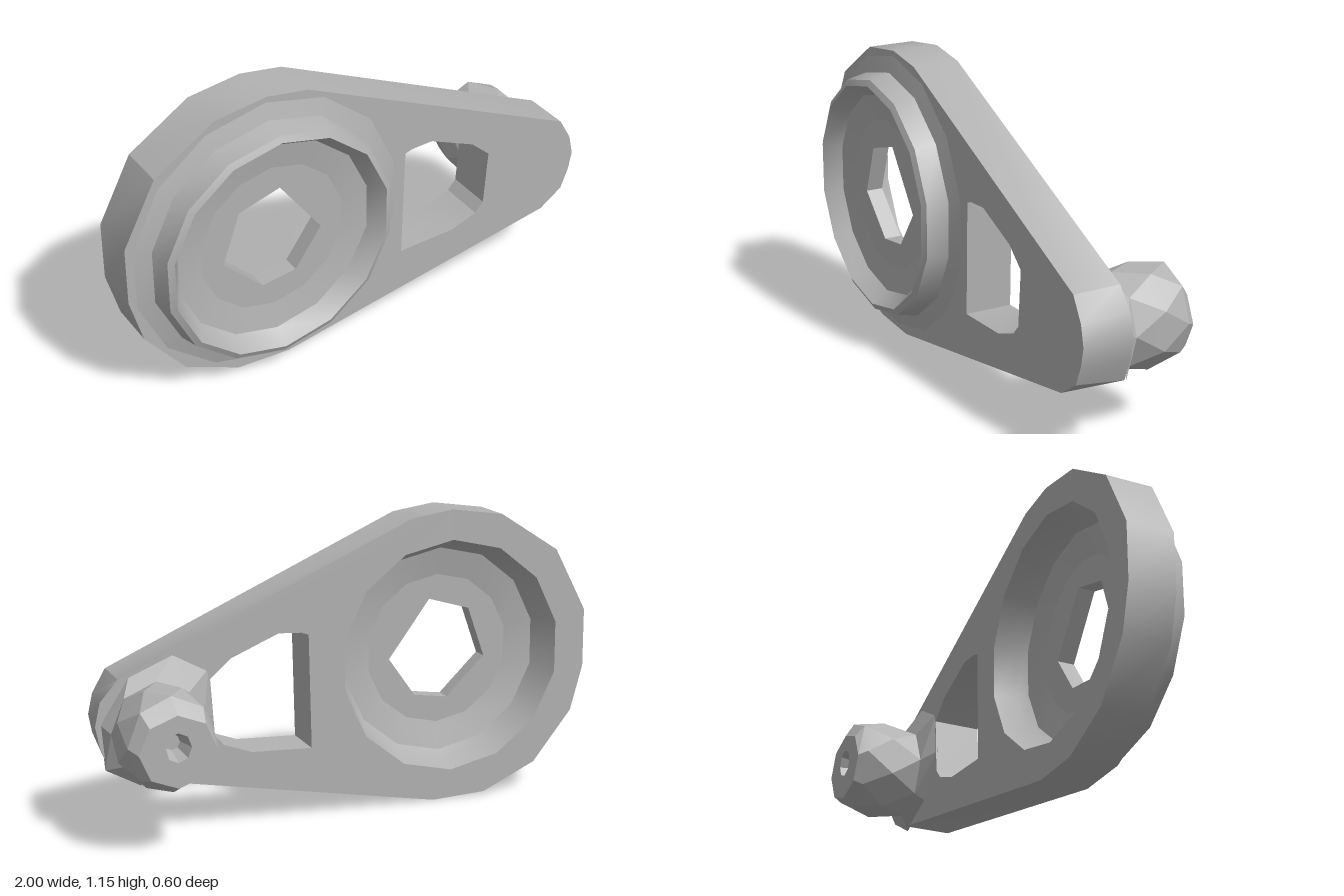
import * as THREE from 'three';
import { toCreasedNormals } from 'three/addons/utils/BufferGeometryUtils.js';

const SIDES = 14;
const CX = -0.425, CY = 0.577; // centre of the round dish

const points = (list) => list.map(([x, y]) => new THREE.Vector2(x, y));

// Regular polygon matching the corners of the dish lathe
function ring(radius) {
  return Array.from({ length: SIDES }, (_, i) => {
    const a = (i / SIDES) * Math.PI * 2;
    return new THREE.Vector2(CX + radius * Math.sin(a), CY - radius * Math.cos(a));
  });
}

// Flat slab from an outline with holes, between two z values
function slab(outline, holes, z0, z1) {
  const shape = new THREE.Shape(outline);
  holes.forEach((h) => shape.holes.push(new THREE.Path(h)));
  const geo = new THREE.ExtrudeGeometry(shape, { depth: z1 - z0, bevelEnabled: false });
  return geo.translate(0, 0, z0);
}

// Faceted knob lofted through rings of [cx, cy, rx, ry, z, twist in steps, lean]
function loft(rings, sides) {
  const pos = [], index = [];
  rings.forEach(([cx, cy, rx, ry, z, twist, lean = 0], r) => {
    for (let i = 0; i < sides; i++) {
      const a = ((i + twist) / sides) * Math.PI * 2;
      const dy = ry * Math.sin(a);
      pos.push(cx + rx * Math.cos(a) - lean * dy, cy + dy, z);
      if (r === 0) continue;
      const j = (i + 1) % sides;
      const a0 = (r - 1) * sides + i, b0 = (r - 1) * sides + j;
      const a1 = r * sides + i, b1 = r * sides + j;
      // the diagonal follows the direction of the twist
      if (twist > rings[r - 1][5]) index.push(a0, a1, b0, b0, a1, b1);
      else index.push(a0, b1, b0, a0, a1, b1);
    }
  });
  const geo = new THREE.BufferGeometry();
  geo.setAttribute('position', new THREE.Float32BufferAttribute(pos, 3));
  geo.setIndex(index);
  return geo;
}

export function createModel() {
  const group = new THREE.Group();
  const grey = new THREE.MeshStandardMaterial({ color: 0xb2b2b2 });
  grey.name = 'plain grey';

  const add = (name, geo, crease) => {
    const mesh = new THREE.Mesh(toCreasedNormals(geo, crease), grey);
    mesh.name = name;
    group.add(mesh);
  };

  // Teardrop arm with a four-sided window and a round opening for the dish
  const outline = points([
    [-0.42, 1.155], [-0.63, 1.125], [-0.87, 0.97], [-1, 0.72], [-1, 0.49],
    [-0.95, 0.31], [-0.79, 0.11], [-0.57, 0.01], [-0.35, 0], [0.84, 0.22],
    [0.95, 0.27], [0.985, 0.36], [1, 0.44], [0.98, 0.53], [0.91, 0.61], [-0.25, 1.13],
  ]);
  const windowHole = points([
    [0.17, 0.715], [0.2, 0.725], [0.29, 0.73], [0.48, 0.65], [0.56, 0.58],
    [0.545, 0.36], [0.51, 0.32], [0.4, 0.28], [0.16, 0.27],
  ]);
  const plate = slab(outline, [windowHole, ring(0.46)], 0, 0.188);
  // The tip tapers slightly towards the front
  const p = plate.attributes.position;
  for (let i = 0; i < p.count; i++) {
    if (p.getX(i) < 0.93 || p.getZ(i) < 0.1) continue;
    p.setX(i, THREE.MathUtils.lerp(p.getX(i), 0.8, 0.1));
    p.setY(i, THREE.MathUtils.lerp(p.getY(i), 0.43, 0.1));
  }
  add('armPlate', plate, 0.5);

  // Sloped skirt, raised front rim and hollowed inner walls on front and back
  const rim = new THREE.LatheGeometry(points([
    [0.56, 0.187], [0.492, 0.206], [0.474, 0.288], [0.45, 0.3],
    [0.405, 0.232], [0.3, 0.215], [0.3, 0.147], [0.41, 0.122], [0.435, 0.08], [0.46, 0],
  ]), SIDES);
  rim.rotateX(Math.PI / 2).translate(CX, CY, 0);
  add('dishRim', rim, 0.5);

  // Thin dish floor with an uneven centre hole
  const centreHole = points([
    [-0.39, 0.78], [-0.56, 0.73], [-0.63, 0.53], [-0.47, 0.375], [-0.33, 0.395], [-0.22, 0.55],
  ]);
  add('dishFloor', slab(ring(0.3), [centreHole], 0.147, 0.215), 0.5);

  // Knob on the back of the narrow end, from a leaning flared root to a small socket
  const knob = loft([
    [0.765, 0.445, 0.215, 0.247, 0.005, 0, 0.28],
    [0.778, 0.42, 0.175, 0.182, -0.045, 0],
    [0.787, 0.42, 0.185, 0.195, -0.16, 0.5],
    [0.785, 0.425, 0.165, 0.178, -0.265, 0],
    [0.775, 0.405, 0.145, 0.135, -0.304, 0],
    [0.775, 0.42, 0.05, 0.055, -0.304, 0],
    [0.775, 0.42, 0.03, 0.03, -0.22, 0],
    [0.775, 0.42, 0, 0, -0.22, 0],
  ], 8);
  add('knob', knob, 0.15);

  return group;
}
